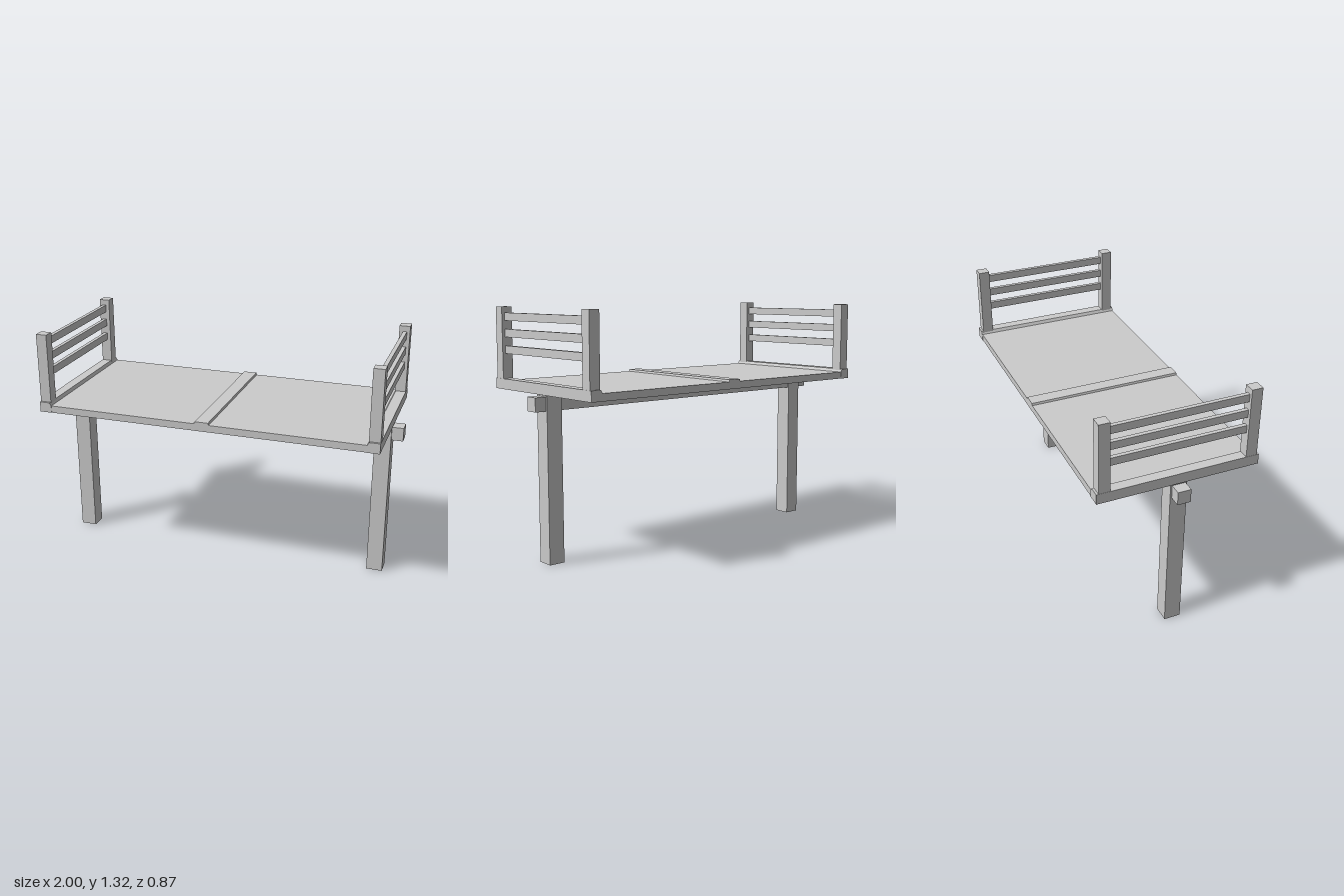
import * as THREE from 'three';

const material = new THREE.MeshStandardMaterial({ color: 0xcccccc, flatShading: true });

// Box given by its min and max corner on each axis
function box(name, [x0, x1], [y0, y1], [z0, z1]) {
  const mesh = new THREE.Mesh(new THREE.BoxGeometry(x1 - x0, y1 - y0, z1 - z0), material);
  mesh.position.set((x0 + x1) / 2, (y0 + y1) / 2, (z0 + z1) / 2);
  mesh.name = name;
  return mesh;
}

// Strip across the deck: an x/y profile extruded along z
function strip(name, points, halfDepth) {
  const shape = new THREE.Shape(points.map(([x, y]) => new THREE.Vector2(x, y)));
  const geometry = new THREE.ExtrudeGeometry(shape, { depth: 2 * halfDepth, bevelEnabled: false });
  geometry.translate(0, 0, -halfDepth);
  const mesh = new THREE.Mesh(geometry, material);
  mesh.name = name;
  return mesh;
}

// Leg, end cap and railing of one end, built at +x
function createEnd(name) {
  const end = new THREE.Group();
  end.name = name;
  end.add(box('leg', [0.848, 0.937], [0, 0.88], [-0.045, 0.045]));
  end.add(strip('endCap', [[0.875, 0.882], [0.943, 0.882], [0.943, 0.938], [0.886, 0.938], [0.876, 0.921]], 0.437));
  for (const z of [-0.395, 0.395]) {
    end.add(box('railingPost', [0.882, 0.942], [0.92, 1.32], [z - 0.03, z + 0.03]));
  }
  for (const y of [1.092, 1.18, 1.267]) {
    end.add(box('rail', [0.903, 0.925], [y - 0.021, y + 0.021], [-0.366, 0.366]));
  }
  return end;
}

export function createModel() {
  const model = new THREE.Group();
  model.name = 'railedPlatform';

  // Deck with a raised strip over the middle
  model.add(box('deck', [-0.94, 0.94], [0.882, 0.921], [-0.435, 0.435]));
  model.add(strip('centreStrip', [[-0.041, 0.92], [0.041, 0.92], [0.037, 0.933], [-0.037, 0.933]], 0.435));

  // Long beam passing through both legs
  model.add(box('beam', [-1, 1], [0.8, 0.874], [-0.036, 0.036]));

  // Matching ends
  const left = createEnd('leftEnd');
  const right = createEnd('rightEnd');
  right.rotation.y = Math.PI;
  model.add(left, right);
  return model;
}
